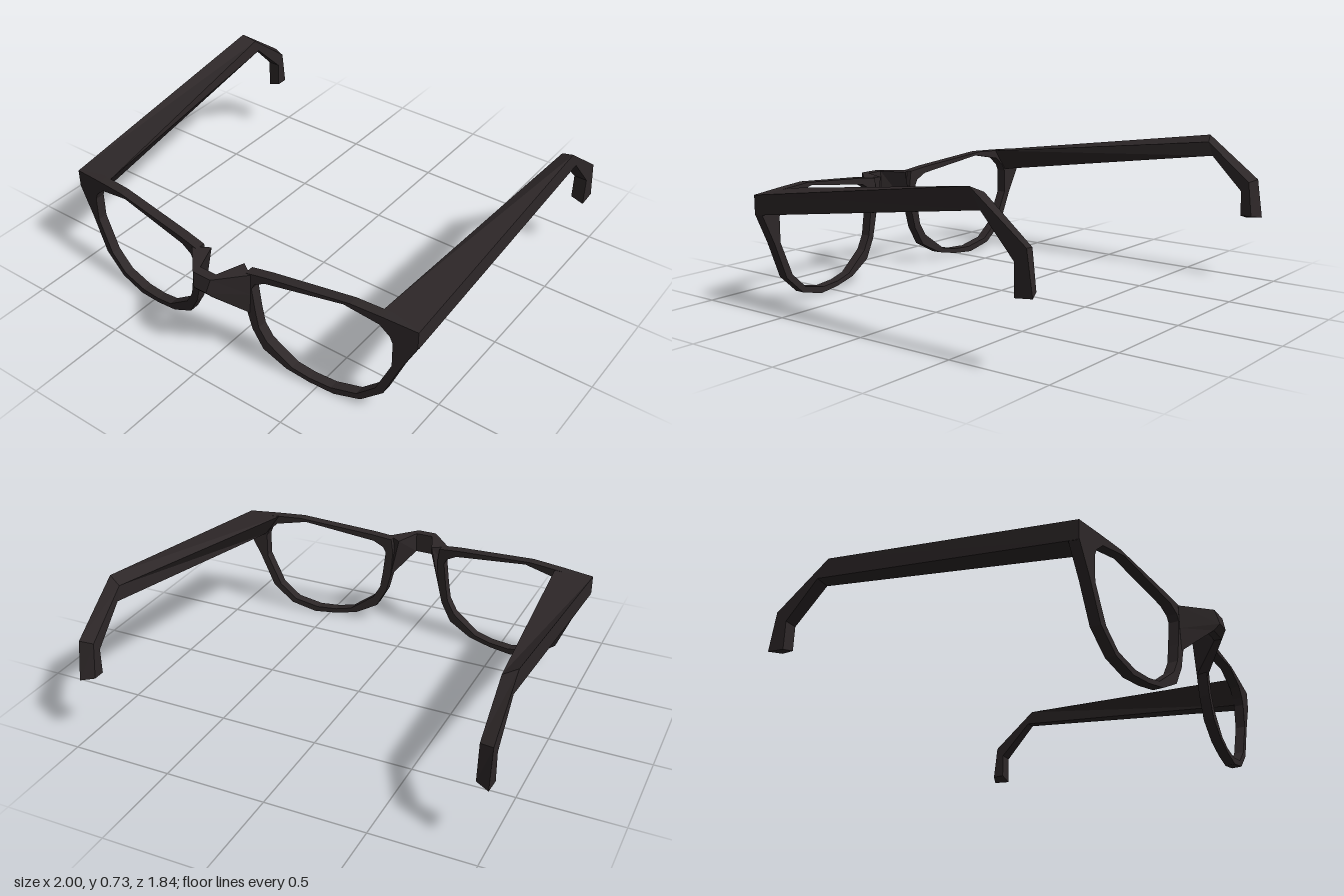
import * as THREE from 'three';

const material = new THREE.MeshStandardMaterial({ color: 0x2d2728, flatShading: true, roughness: 0.8 });

// Skins a run of cross-sections; each section circles counter-clockwise about the path direction.
function loft(name, sections, closed = false) {
  const pos = [];
  const n = sections[0].length;
  const count = sections.length;
  const tri = (a, b, c) => pos.push(...a, ...b, ...c);
  for (let i = 0; i < (closed ? count : count - 1); i++) {
    const s = sections[i], t = sections[(i + 1) % count];
    for (let j = 0; j < n; j++) {
      const k = (j + 1) % n;
      tri(s[j], s[k], t[k]);
      tri(s[j], t[k], t[j]);
    }
  }
  if (!closed) {
    const first = sections[0], last = sections[count - 1];
    for (let j = 1; j < n - 1; j++) {
      tri(first[0], first[j + 1], first[j]);
      tri(last[0], last[j], last[j + 1]);
    }
  }
  const geometry = new THREE.BufferGeometry();
  geometry.setAttribute('position', new THREE.Float32BufferAttribute(pos, 3));
  geometry.computeVertexNormals();
  const mesh = new THREE.Mesh(geometry, material);
  mesh.name = name;
  return mesh;
}

// Mirrors sections across x = 0, reversing each loop to keep faces outward.
const mirror = (sections) => sections.map((s) => s.map(([x, y, z]) => [-x, y, z]).reverse());

// Rim outline: inner x, y, then outer x, y, clockwise from the nose.
const rimOutline = [
  [0.17, 0.435, 0.13, 0.44],
  [0.185, 0.465, 0.14, 0.515],
  [0.24, 0.495, 0.25, 0.53],
  [0.63, 0.55, 0.66, 0.567],
  [0.80, 0.515, 0.82, 0.56],
  [0.85, 0.47, 0.98, 0.55],
  [0.865, 0.435, 0.98, 0.46],
  [0.865, 0.31, 0.905, 0.31],
  [0.79, 0.14, 0.83, 0.13],
  [0.70, 0.06, 0.72, 0.035],
  [0.57, 0.03, 0.585, 0],
  [0.46, 0.035, 0.46, 0.01],
  [0.37, 0.055, 0.34, 0.035],
  [0.24, 0.15, 0.22, 0.10],
  [0.20, 0.22, 0.165, 0.20],
  [0.185, 0.31, 0.14, 0.30],
];

// The rims sweep back slightly toward the temples.
const frontZ = (x) => 0.787 - 0.108 * x;
const rim = rimOutline.map(([ix, iy, ox, oy]) => [
  [ix, iy, frontZ(ix)],
  [ix, iy, frontZ(ix) - 0.05],
  [ox, oy, frontZ(ox) - 0.05],
  [ox, oy, frontZ(ox)],
]);

// Temple arm: outer top, outer bottom, inner bottom, inner top, from hinge to ear tip.
const temple = [
  [[0.98, 0.55, 0.675], [0.98, 0.455, 0.67], [0.87, 0.445, 0.645], [0.79, 0.56, 0.65]],
  [[1, 0.73, -0.61], [1, 0.64, -0.665], [0.935, 0.63, -0.66], [0.935, 0.70, -0.635]],
  [[1, 0.52, -0.89], [1, 0.46, -0.83], [0.935, 0.46, -0.83], [0.935, 0.51, -0.87]],
  [[1, 0.325, -0.92], [1, 0.315, -0.83], [0.935, 0.335, -0.83], [0.935, 0.335, -0.89]],
];

// Bridge half: front middle, lower front, lower back, upper back, upper front.
const bridgeHalf = [
  [[0.035, 0.445, 0.917], [0.05, 0.41, 0.89], [0.045, 0.41, 0.855], [0.045, 0.515, 0.855], [0.05, 0.515, 0.90]],
  [[0.165, 0.40, 0.77], [0.155, 0.29, 0.77], [0.14, 0.30, 0.722], [0.095, 0.515, 0.722], [0.17, 0.515, 0.77]],
];
const flipHalf = bridgeHalf.map((s) => s.map(([x, y, z]) => [-x, y, z])).reverse();

export function createModel() {
  const group = new THREE.Group();
  group.name = 'glasses';
  group.add(
    loft('leftRim', rim, true),
    loft('rightRim', mirror(rim), true),
    loft('leftTemple', temple),
    loft('rightTemple', mirror(temple)),
    loft('bridge', [...flipHalf, ...bridgeHalf]),
  );
  return group;
}
